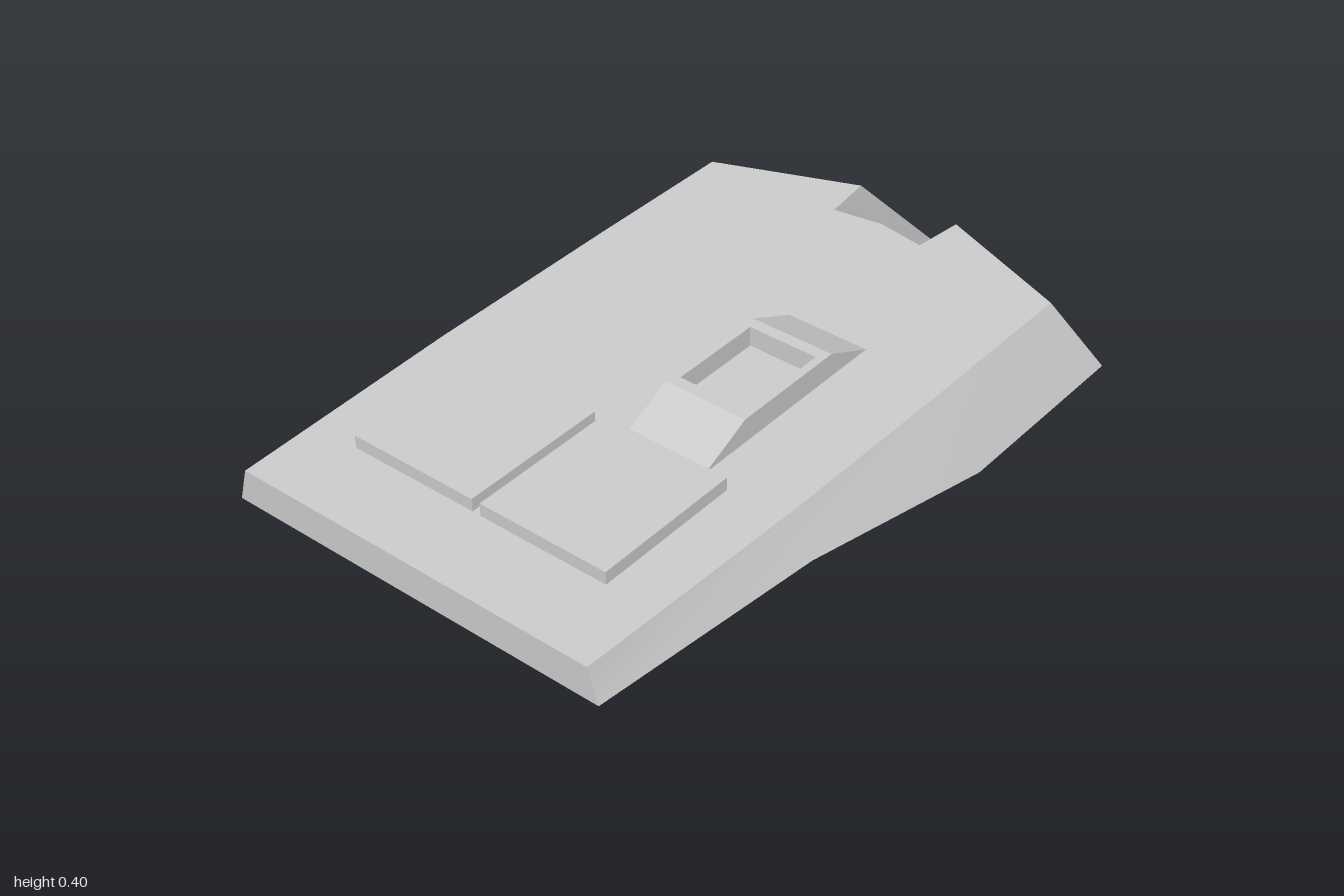
import * as THREE from 'three';
import { mergeGeometries, toCreasedNormals } from 'three/addons/utils/BufferGeometryUtils.js';

const material = new THREE.MeshStandardMaterial({ color: 0xcccccc });

// Fan of triangles from corners listed counter-clockwise as seen from outside
function face(...corners) {
  const out = [];
  for (let i = 1; i < corners.length - 1; i++) out.push(...corners[0], ...corners[i], ...corners[i + 1]);
  const g = new THREE.BufferGeometry();
  g.setAttribute('position', new THREE.Float32BufferAttribute(out, 3));
  return g;
}
const flip = ([x, y, z]) => [-x, y, z];
const mid = ([, y, z]) => [0, y, z];
const mirrored = (...c) => [face(...c), face(...c.map(flip).reverse())];

// Horizontal plate from [x, z] points, with an optional hole, facing up or down
function plate(points, y, up, hole) {
  const toV = ([x, z]) => new THREE.Vector2(x, up ? -z : z);
  const shape = new THREE.Shape(points.map(toV));
  if (hole) shape.holes.push(new THREE.Path(hole.map(toV)));
  const g = new THREE.ShapeGeometry(shape).rotateX(up ? -Math.PI / 2 : Math.PI / 2).translate(0, y, 0).toNonIndexed();
  g.deleteAttribute('uv');
  g.deleteAttribute('normal');
  return g;
}

function solid(name, faces, crease = 0.5) {
  const mesh = new THREE.Mesh(toCreasedNormals(mergeGeometries(faces), crease), material);
  mesh.name = name;
  return mesh;
}

const ringZ = -0.335;
const octagon = (r) => Array.from({ length: 8 }, (_, i) => {
  const a = (i * Math.PI) / 4;
  return [r * Math.cos(a), ringZ + r * Math.sin(a)];
});
const rectangle = (x0, x1, z0, z1) => [[x0, z0], [x1, z0], [x1, z1], [x0, z1]];

// Inward-facing walls and floor of a pocket; outline runs from +x towards +z
function pocket(outline, yOpen, yEnd) {
  const up = yEnd < yOpen;
  const walls = outline.map(([x, z], i) => {
    const [u, w] = outline[(i + 1) % outline.length];
    const c = [[x, yOpen, z], [u, yOpen, w], [u, yEnd, w], [x, yEnd, z]];
    return face(...(up ? c.reverse() : c));
  });
  return [...walls, plate(outline, yEnd, up)];
}

function createHull() {
  // Upper edge, side chine and lower edge, from front to rear
  const top = [[0.47, 0.34, 1], [0.49, 0.34, 0.4], [0.495, 0.34, -0.15], [0.495, 0.34, -0.56]];
  const chine = [[0.495, 0.255, 1], [0.545, 0.24, 0.4], [0.59, 0.15, -0.15], [0.59, 0.15, -0.66]];
  const low = [[0.4, 0.165, 0.82], [0.4, 0.12, 0.33], [0.4, 0.04, -0.03], [0.4, 0.04, -0.86]];
  const tipTop = [0.14, 0.34, -0.7], tipLow = [0.12, 0.04, -1];
  const notchTop = [0.125, 0.34, -0.57], notchLow = [0.11, 0.04, -0.66];
  const centreTop = [0, 0.34, -0.59], centreLow = [0, 0.04, -0.7];
  const faces = [];

  // Sides and sloping belly
  for (let i = 0; i < 3; i++) {
    faces.push(...mirrored(chine[i], chine[i + 1], top[i + 1], top[i]));
    faces.push(...mirrored(low[i], low[i + 1], chine[i + 1], chine[i]));
    if (i < 2) faces.push(...mirrored(mid(low[i]), mid(low[i + 1]), low[i + 1], low[i]));
  }
  // Nose
  faces.push(...mirrored(mid(chine[0]), chine[0], top[0], mid(top[0])));
  faces.push(...mirrored(mid(low[0]), low[0], chine[0], mid(chine[0])));
  // Sloped rear and its notch
  faces.push(...mirrored(top[3], chine[3], low[3]));
  faces.push(...mirrored(top[3], low[3], tipLow, tipTop));
  faces.push(...mirrored(tipTop, tipLow, notchLow, notchTop));
  faces.push(...mirrored(notchTop, notchLow, centreLow, centreTop));
  // Deck and flat floor with the ring opening
  const outline = (half, centre) =>
    [...half, centre, ...half.map(flip).reverse()].map(([x, , z]) => [x, z]);
  faces.push(plate(outline([...top, tipTop, notchTop], centreTop), 0.34, true));
  faces.push(plate(outline([low[2], low[3], tipLow, notchLow], centreLow), 0.04, false, octagon(0.23)));
  faces.push(...pocket(octagon(0.23), 0.04, 0.2));
  return solid('hull', faces);
}

// Raised housing with ramps at both ends and a window sunk into its top
function createSight() {
  const x0 = 0.06, x1 = 0.275;
  const profile = [[0.34, 0.41], [0.4, 0.28], [0.4, -0.02], [0.34, -0.15]];
  const left = profile.map(([y, z]) => [x1, y, z]);
  const right = profile.map(([y, z]) => [x0, y, z]);
  const opening = rectangle(0.075, 0.255, 0.01, 0.25);
  return solid('sightHousing', [
    face(left[0], left[3], left[2], left[1]),
    face(...right),
    face(right[0], left[0], left[1], right[1]),
    face(right[2], left[2], left[3], right[3]),
    plate(rectangle(x0, x1, -0.02, 0.28), 0.4, true, opening),
    ...pocket(opening, 0.4, 0.35),
  ], 0.3);
}

export function createModel() {
  const group = new THREE.Group();
  group.add(createHull(), createSight());

  // Pair of roof hatches
  for (const [name, x] of [['leftHatch', 0.177], ['rightHatch', -0.18]]) {
    const hatch = new THREE.Mesh(new THREE.BoxGeometry(0.335, 0.04, 0.375), material);
    hatch.position.set(x, 0.352, 0.615);
    hatch.name = name;
    group.add(hatch);
  }

  // Eight-sided mounting ring under the floor
  const profile = [[0.27, 0.04], [0.27, 0], [0.307, 0], [0.307, 0.04]].map(([r, y]) => new THREE.Vector2(r, y));
  const ringGeometry = toCreasedNormals(new THREE.LatheGeometry(profile, 8), 0.9);
  const ring = new THREE.Mesh(ringGeometry, material);
  ring.position.z = ringZ;
  ring.name = 'mountingRing';
  group.add(ring);
  return group;
}
